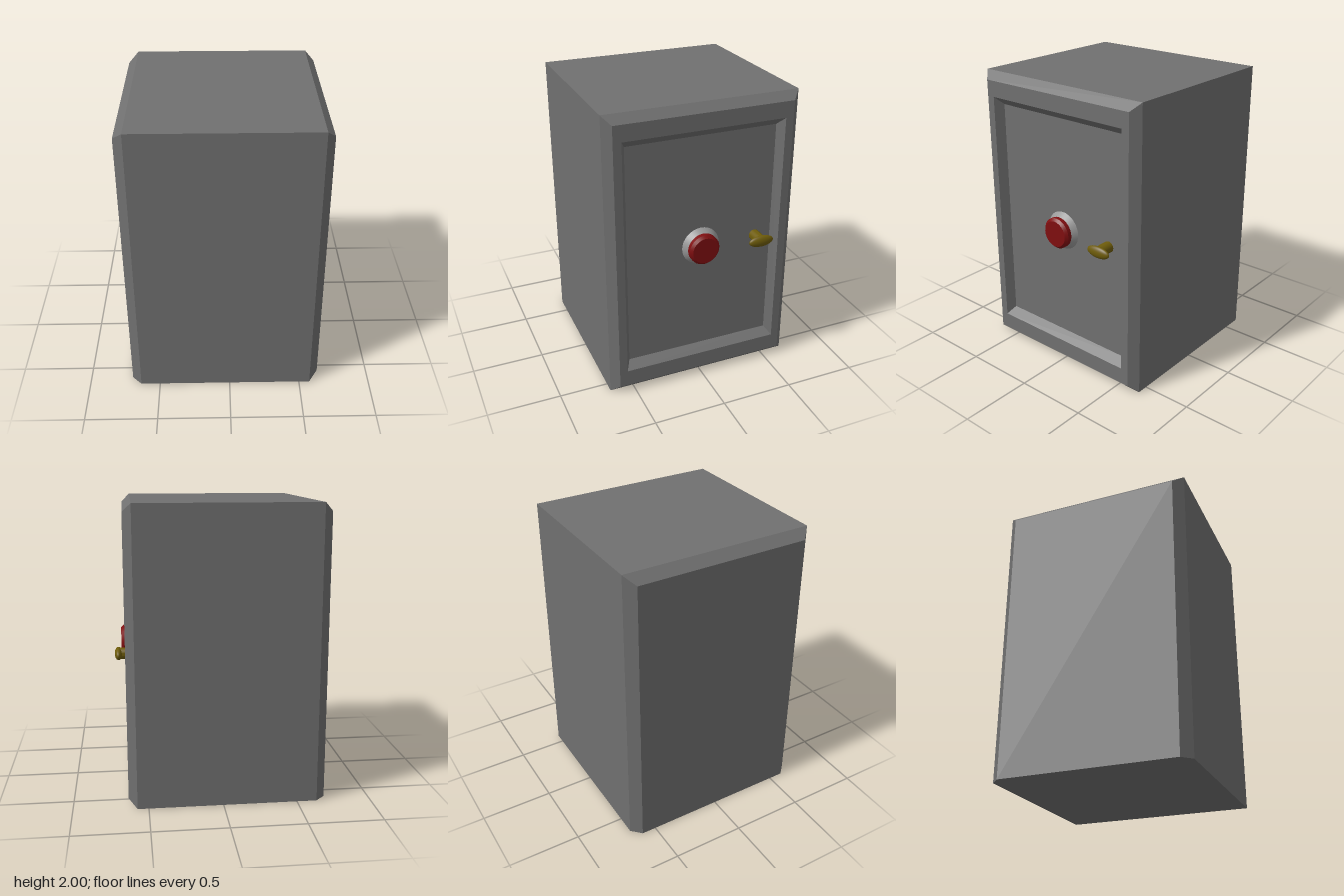
import * as THREE from 'three';
import { toCreasedNormals } from 'three/addons/utils/BufferGeometryUtils.js';

const steel = new THREE.MeshStandardMaterial({ color: 0x707070 });
const paleSteel = new THREE.MeshStandardMaterial({ color: 0x999999 });
const red = new THREE.MeshStandardMaterial({ color: 0x800e10 });
const brass = new THREE.MeshStandardMaterial({ color: 0x6e5c0a });

// Joins rectangular sections [x, bottom, top, half depth] along x, with optional end caps
function loft(sections, capStart, capEnd) {
  const rings = sections.map(([x, y0, y1, z]) => [[x, y0, z], [x, y0, -z], [x, y1, -z], [x, y1, z]]);
  const pos = [];
  const quad = (a, b, c, d) => pos.push(...a, ...b, ...c, ...a, ...c, ...d);
  for (let s = 0; s < rings.length - 1; s++) {
    const a = rings[s], b = rings[s + 1];
    for (let i = 0; i < 4; i++) {
      const j = (i + 1) % 4;
      quad(a[i], a[j], b[j], b[i]);
    }
  }
  if (capStart) quad(...[...rings[0]].reverse());
  if (capEnd) quad(...rings[rings.length - 1]);
  const g = new THREE.BufferGeometry();
  g.setAttribute('position', new THREE.Float32BufferAttribute(pos, 3));
  g.computeVertexNormals();
  return g;
}

// Turned part whose axis points out of the door; profile is [radius, distance]
function turned(profile) {
  const g = new THREE.LatheGeometry(profile.map(([r, d]) => new THREE.Vector2(r, d)), 32);
  g.rotateZ(-Math.PI / 2);
  return toCreasedNormals(g, 0.5);
}

export function createModel() {
  const safe = new THREE.Group();
  safe.name = 'safe';
  const add = (parent, name, geometry, material) => {
    const mesh = new THREE.Mesh(geometry, material);
    mesh.name = name;
    parent.add(mesh);
    return mesh;
  };

  // Cabinet with bevelled back; its bottom edge at the back stays square
  add(safe, 'cabinet', loft([
    [-0.70, 0, 1.94, 0.60], [-0.635, 0, 2, 0.665], [0.575, 0, 2, 0.665],
  ], true, false), steel);

  // Bevelled rim and flat border around the door
  add(safe, 'doorFrame', loft([
    [0.575, 0, 2, 0.665], [0.632, 0.055, 1.945, 0.61], [0.632, 0.17, 1.835, 0.555],
  ], false, false), steel);

  // Recessed door with sloping surround
  add(safe, 'doorPanel', loft([
    [0.632, 0.17, 1.835, 0.555], [0.572, 0.22, 1.78, 0.52],
  ], false, true), steel);

  // Combination dial on a conical collar
  const dial = new THREE.Group();
  dial.name = 'dial';
  dial.position.set(0.572, 1, 0);
  add(dial, 'dialCollar', turned([[0.133, 0], [0.105, 0.04], [0, 0.04]]), paleSteel);
  add(dial, 'dialKnob', turned([[0.107, 0.038], [0.107, 0.066], [0.09, 0.084], [0, 0.084]]), red);
  safe.add(dial);

  // Handle: round stem with a flattened oval grip
  const handle = new THREE.Group();
  handle.name = 'handle';
  handle.position.set(0.572, 1, -0.4);
  add(handle, 'handleStem', turned([[0.038, 0], [0.038, 0.1]]), brass);
  const grip = add(handle, 'handleGrip', new THREE.SphereGeometry(1, 32, 20), brass);
  grip.scale.set(0.025, 0.04, 0.089);
  grip.position.x = 0.103;
  safe.add(handle);

  return safe;
}
